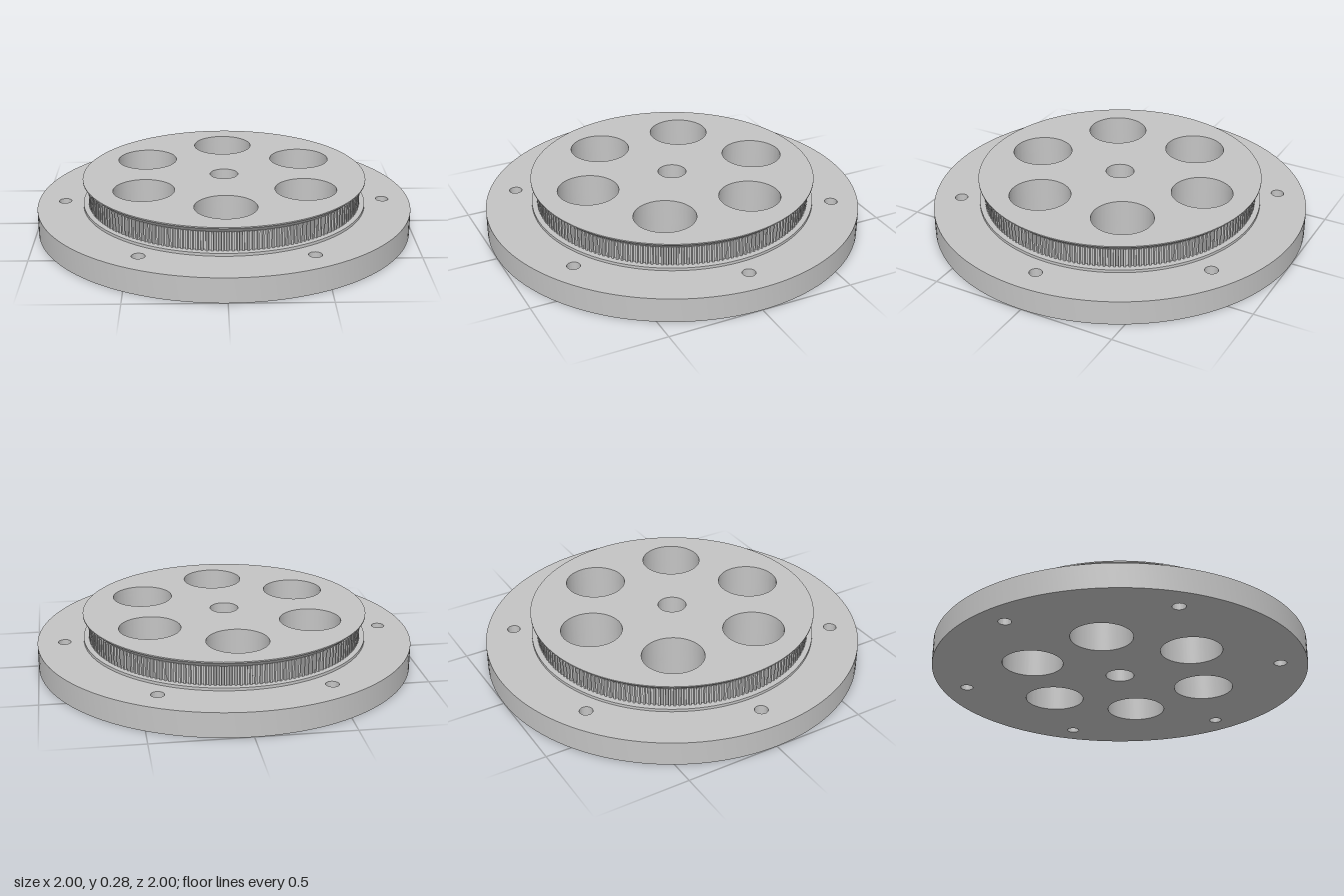
import * as THREE from 'three';
import { toCreasedNormals } from 'three/addons/utils/BufferGeometryUtils.js';

const SEGMENTS = 128;
const TEETH = 180;

function circlePath(x, y, r) {
  const path = new THREE.Path();
  path.absarc(x, y, r, 0, Math.PI * 2, true);
  return path;
}

// Round hole pattern: centre bore plus six lightening holes
function addCoreHoles(shape) {
  shape.holes.push(circlePath(0, 0, 0.075));
  for (let i = 0; i < 6; i++) {
    const a = Math.PI / 6 + (i * Math.PI) / 3;
    shape.holes.push(circlePath(0.485 * Math.cos(a), 0.485 * Math.sin(a), 0.16));
  }
  return shape;
}

function disc(r) {
  const shape = new THREE.Shape();
  shape.absarc(0, 0, r, 0, Math.PI * 2, false);
  return addCoreHoles(shape);
}

// Toothed outline: tapered teeth separated by narrow grooves
function toothedDisc(rOuter, rRoot) {
  const pts = [];
  const pitch = (Math.PI * 2) / TEETH;
  for (let i = 0; i < TEETH; i++) {
    for (const [t, r] of [[0, rOuter], [0.4, rOuter], [0.5, rRoot], [0.9, rRoot]]) {
      const a = (i + t) * pitch;
      pts.push(new THREE.Vector2(r * Math.cos(a), r * Math.sin(a)));
    }
  }
  return addCoreHoles(new THREE.Shape(pts));
}

// Extrude a flat outline upwards from y0 to y1
function slab(shape, y0, y1, crease = 0.25) {
  const geo = new THREE.ExtrudeGeometry(shape, {
    depth: y1 - y0, bevelEnabled: false, curveSegments: SEGMENTS / 2,
  });
  geo.rotateX(-Math.PI / 2);
  geo.translate(0, y0, 0);
  return toCreasedNormals(geo, crease);
}

export function createModel() {
  const group = new THREE.Group();
  group.name = 'timingPulley';
  const metal = new THREE.MeshStandardMaterial({ color: 0xc4c4c4 });
  metal.name = 'grey';

  const add = (name, geometry) => {
    const mesh = new THREE.Mesh(geometry, metal);
    mesh.name = name;
    group.add(mesh);
  };

  // Mounting plate with six bolt holes
  const plate = disc(1);
  for (let i = 0; i < 6; i++) {
    const a = (i * Math.PI) / 3;
    plate.holes.push(circlePath(0.857 * Math.cos(a), 0.857 * Math.sin(a), 0.034));
  }
  add('basePlate', slab(plate, 0, 0.13));

  // Thin lower flange, belt teeth and top cap
  add('lowerFlange', slab(disc(0.755), 0.13, 0.145));
  add('toothedRim', slab(toothedDisc(0.727, 0.716), 0.145, 0.245));
  add('upperFlangeCore', slab(disc(0.72), 0.245, 0.274));
  add('topCap', slab(disc(0.755), 0.274, 0.28));

  // Flared underside of the upper flange
  const flare = [[0.7, 0.245], [0.722, 0.245], [0.755, 0.274]];
  add('upperFlangeFlare', toCreasedNormals(
    new THREE.LatheGeometry(flare.map(([r, y]) => new THREE.Vector2(r, y)), SEGMENTS), 0.4));

  return group;
}
